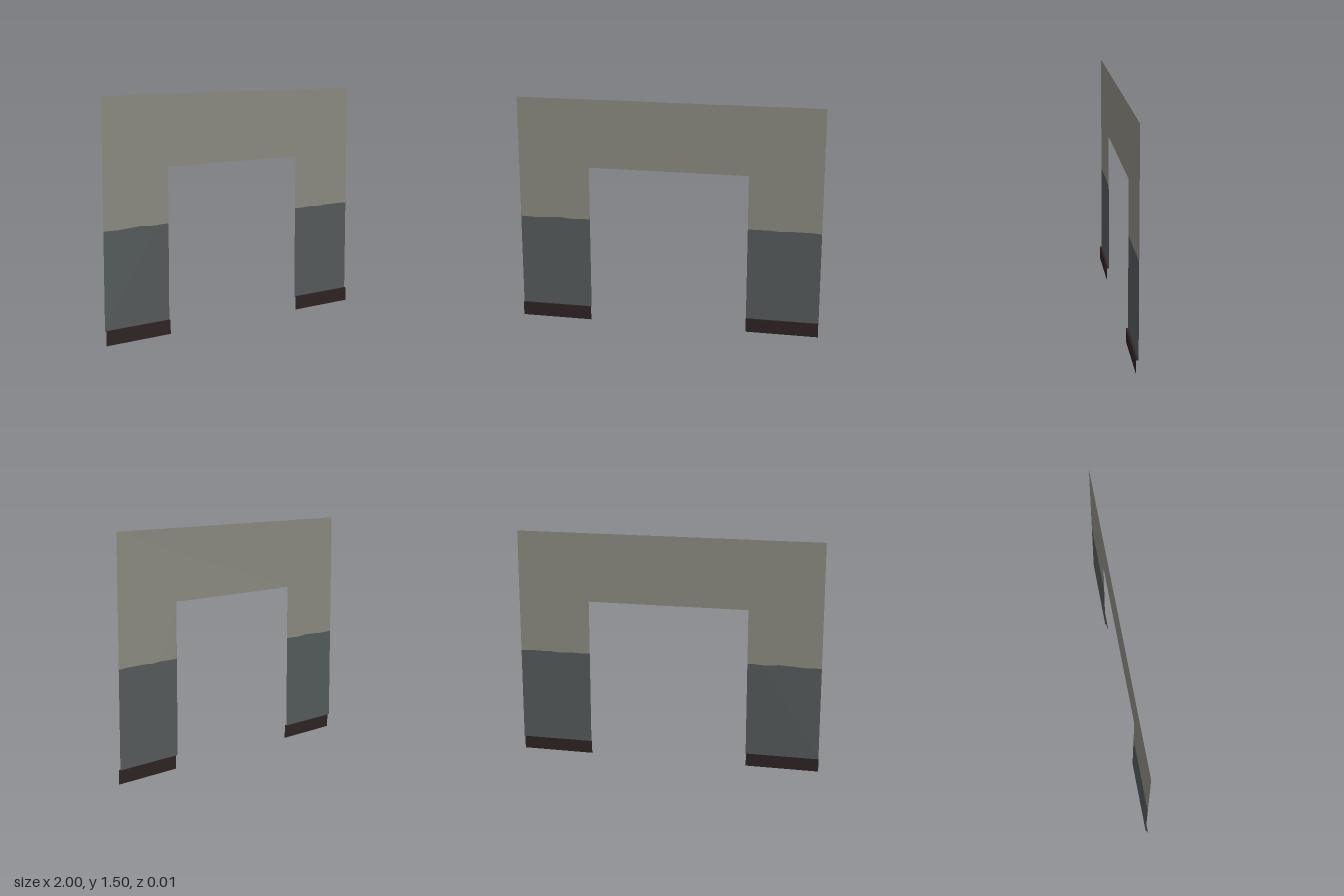
import * as THREE from 'three';

const material = (name, color) => {
  const m = new THREE.MeshStandardMaterial({ color, side: THREE.DoubleSide });
  m.name = name;
  return m;
};

export function createModel() {
  const plaster = material('warm grey plaster', 0x89887e);
  const paint = material('dark slate paint', 0x535859);
  const wood = material('dark brown wood', 0x2d2222);

  const group = new THREE.Group();
  group.name = 'doorwayWall';

  const inner = 0.525, outer = 1, top = 1.505, lintel = 1.055;
  const skirtTop = 0.09, wallZ = -0.007, skirtZ = 0.007;

  // uneven paint edge on each pier, left to right
  const edges = {
    right: [[-1, 0.7], [-0.9, 0.697], [-0.8, 0.703], [-0.73, 0.707], [-0.67, 0.7], [-0.62, 0.699], [-0.57, 0.703], [-inner, 0.702]],
    left: [[inner, 0.702], [0.6, 0.701], [0.66, 0.704], [0.73, 0.697], [0.79, 0.703], [0.86, 0.702], [0.93, 0.703], [1, 0.698]],
  };

  const add = (name, geometry, mat, x = 0, y = 0, z = wallZ) => {
    const mesh = new THREE.Mesh(geometry, mat);
    mesh.name = name;
    mesh.position.set(x, y, z);
    group.add(mesh);
    return mesh;
  };
  const sheet = (points) =>
    new THREE.ShapeGeometry(new THREE.Shape(points.map(([x, y]) => new THREE.Vector2(x, y))));

  // upper wall: lintel and the plain tops of both piers
  add('upperWall', sheet([
    ...edges.right, [-inner, lintel], [inner, lintel], ...edges.left, [outer, top], [-outer, top],
  ]), plaster);

  for (const [side, edge] of Object.entries(edges)) {
    const x0 = edge[0][0], x1 = edge[edge.length - 1][0];
    const width = x1 - x0, mid = (x0 + x1) / 2;

    // painted lower wall
    add(side + 'LowerWall', sheet([[x1, skirtTop], [x0, skirtTop], ...edge].reverse()), paint);

    // skirting board: face and top ledge
    add(side + 'SkirtingFace', new THREE.PlaneGeometry(width, skirtTop), wood, mid, skirtTop / 2, skirtZ);
    const ledge = new THREE.PlaneGeometry(width, skirtZ - wallZ).rotateX(-Math.PI / 2);
    add(side + 'SkirtingLedge', ledge, wood, mid, skirtTop, 0);
  }
  return group;
}
